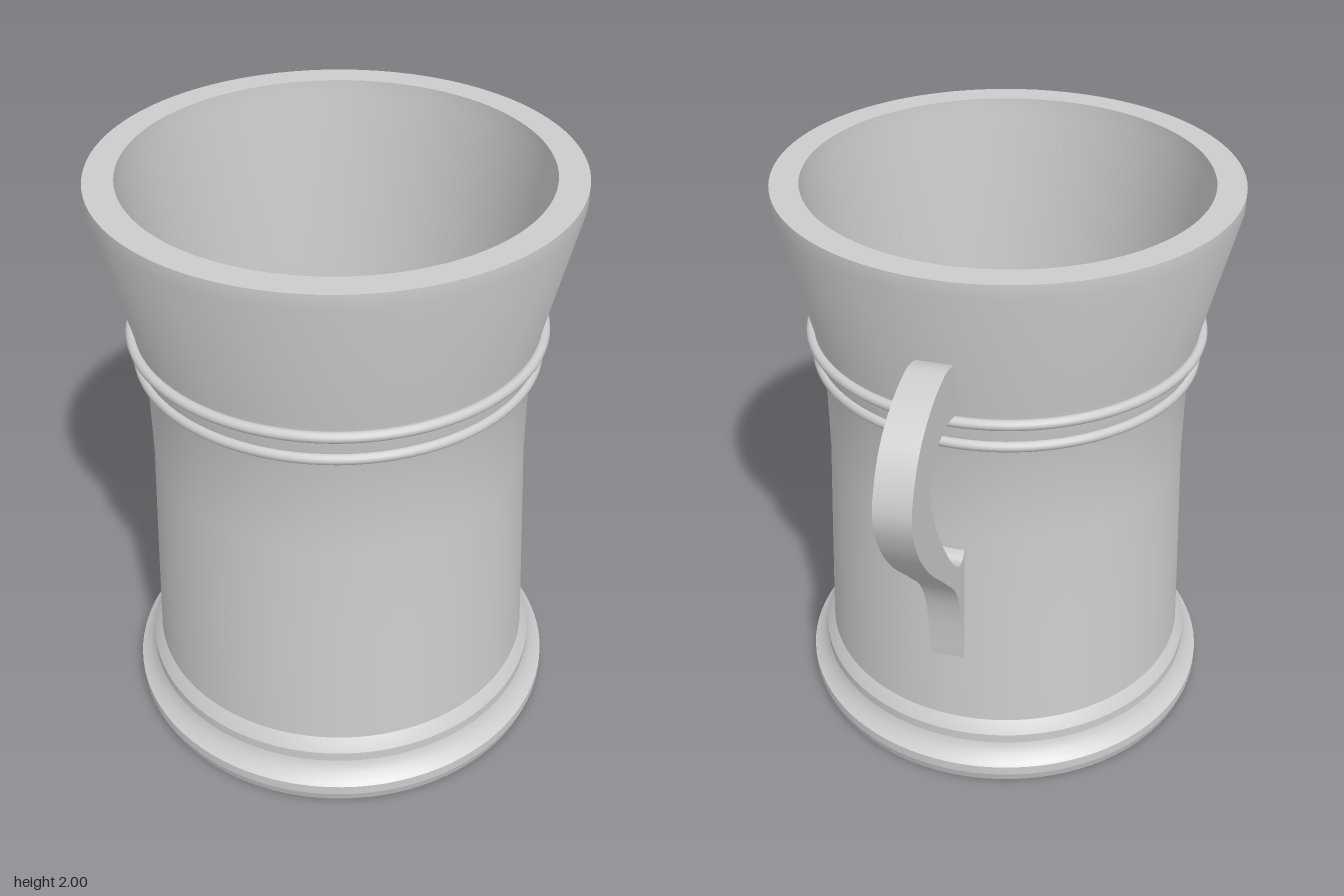
import * as THREE from 'three';
import { toCreasedNormals } from 'three/addons/utils/BufferGeometryUtils.js';

const BODY_Z = 0.18; // the vessel sits forward to balance the handle

const vectors = (pairs) => pairs.map(([x, y]) => new THREE.Vector2(x, y));

export function createModel() {
  const model = new THREE.Group();
  model.name = 'tankard';
  const grey = new THREE.MeshStandardMaterial({ color: 0xcccccc });
  grey.name = 'pale grey';

  const add = (name, geometry) => {
    const mesh = new THREE.Mesh(geometry, grey);
    mesh.name = name;
    model.add(mesh);
    return mesh;
  };

  // Vessel: underside, stepped foot, waisted wall, flared lip, then the hollow inside
  const profile = vectors([
    [0, 0], [0.735, 0], [0.746, 0.035], [0.746, 0.07], [0.735, 0.078],
    [0.712, 0.1], [0.697, 0.125], [0.692, 0.14], [0.692, 0.175], [0.68, 0.195],
    [0.662, 0.22], [0.645, 0.62], [0.628, 1.0], [0.628, 1.31], [0.645, 1.37],
    [0.655, 1.47], [0.658, 1.5], [0.765, 1.95], [0.765, 2],
    [0.67, 2], [0.668, 1.95], [0.585, 1.35], [0.585, 0.15], [0, 0.15],
  ]);
  add('vessel', toCreasedNormals(new THREE.LatheGeometry(profile, 96), 0.3)).position.z = BODY_Z;

  // Two raised bands around the neck
  for (const [name, y, radius] of [['lowerBand', 1.378, 0.648], ['upperBand', 1.468, 0.665]]) {
    const band = add(name, new THREE.TorusGeometry(radius, 0.018, 12, 96));
    band.rotation.x = Math.PI / 2;
    band.position.set(0, y, BODY_Z);
  }

  // Handle: flat slab with a curved outline, drawn as distance to the back against height
  const shape = new THREE.Shape();
  shape.moveTo(0.485, 1.665);
  shape.splineThru(vectors([
    [0.53, 1.695], [0.61, 1.71], [0.74, 1.675], [0.865, 1.585], [0.94, 1.43],
    [0.91, 1.285], [0.81, 1.13], [0.655, 0.965], [0.55, 0.845], [0.497, 0.71], [0.47, 0.49],
  ]));
  shape.lineTo(0.43, 0.49);
  shape.lineTo(0.43, 1.0);
  shape.splineThru(vectors([
    [0.45, 0.945], [0.485, 0.917], [0.55, 0.955], [0.655, 1.1], [0.75, 1.285],
    [0.772, 1.4], [0.73, 1.5], [0.61, 1.53], [0.52, 1.515], [0.46, 1.49],
  ]));
  shape.closePath();
  const slab = new THREE.ExtrudeGeometry(shape, { depth: 0.12, bevelEnabled: false, curveSegments: 6 });
  const handle = add('handle', toCreasedNormals(slab, 0.6));
  handle.rotation.y = Math.PI / 2;
  handle.position.x = -0.035;

  return model;
}
